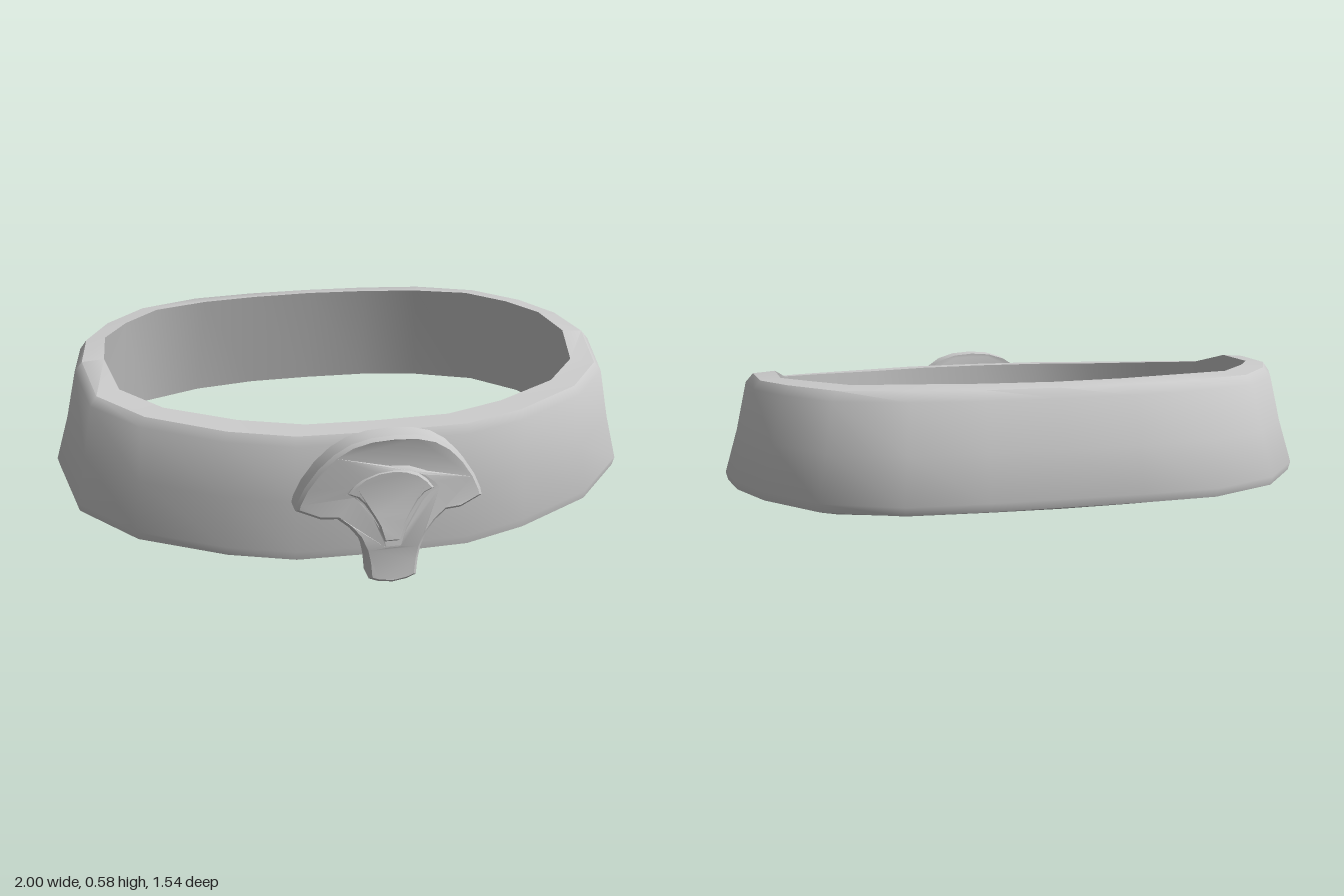
import * as THREE from 'three';
import { mergeVertices, toCreasedNormals } from 'three/addons/utils/BufferGeometryUtils.js';

const material = new THREE.MeshStandardMaterial({ color: 0xcccccc });

// Half of the band, back to front:
// outer x, outer z, inner x, inner z, bottom y, top y, top edge and bottom lip as fractions of the thickness
const stations = [
  [0, -0.77, 0, -0.59, 0.25, 0.585, 0.55, 0.5],
  [0.24, -0.77, 0.22, -0.575, 0.25, 0.585, 0.55, 0.5],
  [0.49, -0.74, 0.42, -0.54, 0.245, 0.585, 0.55, 0.5],
  [0.73, -0.62, 0.61, -0.48, 0.24, 0.58, 0.55, 0.5],
  [0.89, -0.42, 0.73, -0.34, 0.235, 0.575, 0.55, 0.5],
  [0.97, -0.2, 0.81, -0.2, 0.22, 0.565, 0.55, 0.5],
  [1, 0.02, 0.82, 0.02, 0.2, 0.555, 0.55, 0.5],
  [0.94, 0.28, 0.78, 0.2, 0.14, 0.505, 0.6, 0.4],
  [0.76, 0.45, 0.65, 0.35, 0.1, 0.485, 0.7, 0.3],
  [0.49, 0.58, 0.43, 0.47, 0.08, 0.47, 0.85, 0.2],
  [0.28, 0.64, 0.23, 0.54, 0.07, 0.465, 0.95, 0.1],
  [0, 0.65, 0, 0.55, 0.07, 0.465, 0.97, 0.1],
];

// Closed loop of bevelled cross-sections, flared toward the bottom
function bandGeometry() {
  const mirrored = stations.slice(1, -1).reverse().map(([xo, zo, xi, ...rest]) => [-xo, zo, -xi, ...rest]);
  const loop = [...stations, ...mirrored];
  const positions = [], index = [];
  for (const [xo, zo, xi, zi, yB, yT, fT, fJ] of loop) {
    const profile = [
      [0.96, yB - 0.018], [1, yB + 0.01],
      [1 + (fT - 1) * 0.55, yB + (yT - yB) * 0.45],
      [fT, yT - 0.035], [fT - 0.14, yT - 0.006],
      [0, yT], [fJ, yB - 0.045],
    ];
    for (const [f, y] of profile) positions.push(xi + (xo - xi) * f, y, zi + (zo - zi) * f);
  }
  const n = 7, m = loop.length;
  for (let i = 0; i < m; i++) {
    for (let j = 0; j < n; j++) {
      const i2 = (i + 1) % m, j2 = (j + 1) % n;
      const a = i * n + j, b = i * n + j2, c = i2 * n + j2, d = i2 * n + j;
      index.push(a, b, c, a, c, d);
    }
  }
  const g = new THREE.BufferGeometry();
  g.setAttribute('position', new THREE.Float32BufferAttribute(positions, 3));
  g.setIndex(index);
  return toCreasedNormals(g, 0.75);
}

// Symmetric outline from its right half, listed top to bottom
function symmetric(half) {
  const left = half.filter(([x]) => x > 0).reverse().map(([x, y]) => [-x, y]);
  return [...half, ...left].map(([x, y]) => new THREE.Vector2(x, y));
}

// Wraps a flat plate around the front of the band, hollowed slightly at mid height
function bend(g) {
  const p = g.attributes.position;
  for (let i = 0; i < p.count; i++) {
    const x = p.getX(i), y = p.getY(i);
    const dip = 0.018 * Math.exp(-(((y - 0.31) / 0.09) ** 2)) * (1 - Math.min(1, Math.abs(x) / 0.3));
    p.setZ(i, p.getZ(i) - 0.045 * (x / 0.29) ** 2 - dip);
  }
  g.deleteAttribute('normal');
  g.deleteAttribute('uv');
  return toCreasedNormals(mergeVertices(g, 1e-4), 0.6);
}

function plate(shape, back, front, bevel) {
  const g = new THREE.ExtrudeGeometry(shape, {
    depth: front - back - bevel, bevelEnabled: bevel > 0, bevelThickness: bevel,
    bevelSize: bevel, bevelOffset: -bevel, bevelSegments: 1,
  });
  // Flatten the rear bevel so only the front edge is chamfered
  const p = g.attributes.position;
  for (let i = 0; i < p.count; i++) p.setZ(i, Math.max(0, p.getZ(i)) + back);
  return bend(g);
}

export function createModel() {
  const group = new THREE.Group();
  const add = (geometry, name) => {
    const mesh = new THREE.Mesh(geometry, material);
    mesh.name = name;
    group.add(mesh);
  };

  add(bandGeometry(), 'beltBand');

  // Fan-shaped buckle with a recessed window
  const outline = symmetric([
    [0, 0.493], [0.07, 0.488], [0.13, 0.47], [0.18, 0.437], [0.225, 0.39], [0.265, 0.33], [0.288, 0.28],
    [0.294, 0.255], [0.22, 0.228], [0.17, 0.228], [0.135, 0.2], [0.107, 0.165], [0.088, 0.12],
    [0.08, 0.08], [0.075, 0.025], [0.045, 0.014], [0, 0.008],
  ]);
  const windowHalf = [
    [0, 0.39], [0.05, 0.385], [0.1, 0.365], [0.135, 0.337], [0.16, 0.305],
    [0.125, 0.29], [0.1, 0.265], [0.07, 0.22], [0.048, 0.18], [0.03, 0.12],
  ];
  const frame = new THREE.Shape(outline);
  frame.holes.push(new THREE.Path(symmetric(windowHalf)));
  add(plate(frame, 0.69, 0.766, 0.01), 'buckleFrame');

  // Floor of the window, with a smaller raised panel leaving a groove around it
  add(plate(new THREE.Shape(symmetric(windowHalf)), 0.69, 0.738, 0), 'buckleRecess');
  const inset = windowHalf.map(([x, y]) => [x * 0.84, 0.27 + (y - 0.27) * 0.86]);
  add(plate(new THREE.Shape(symmetric(inset)), 0.72, 0.75, 0.006), 'bucklePanel');

  return group;
}
